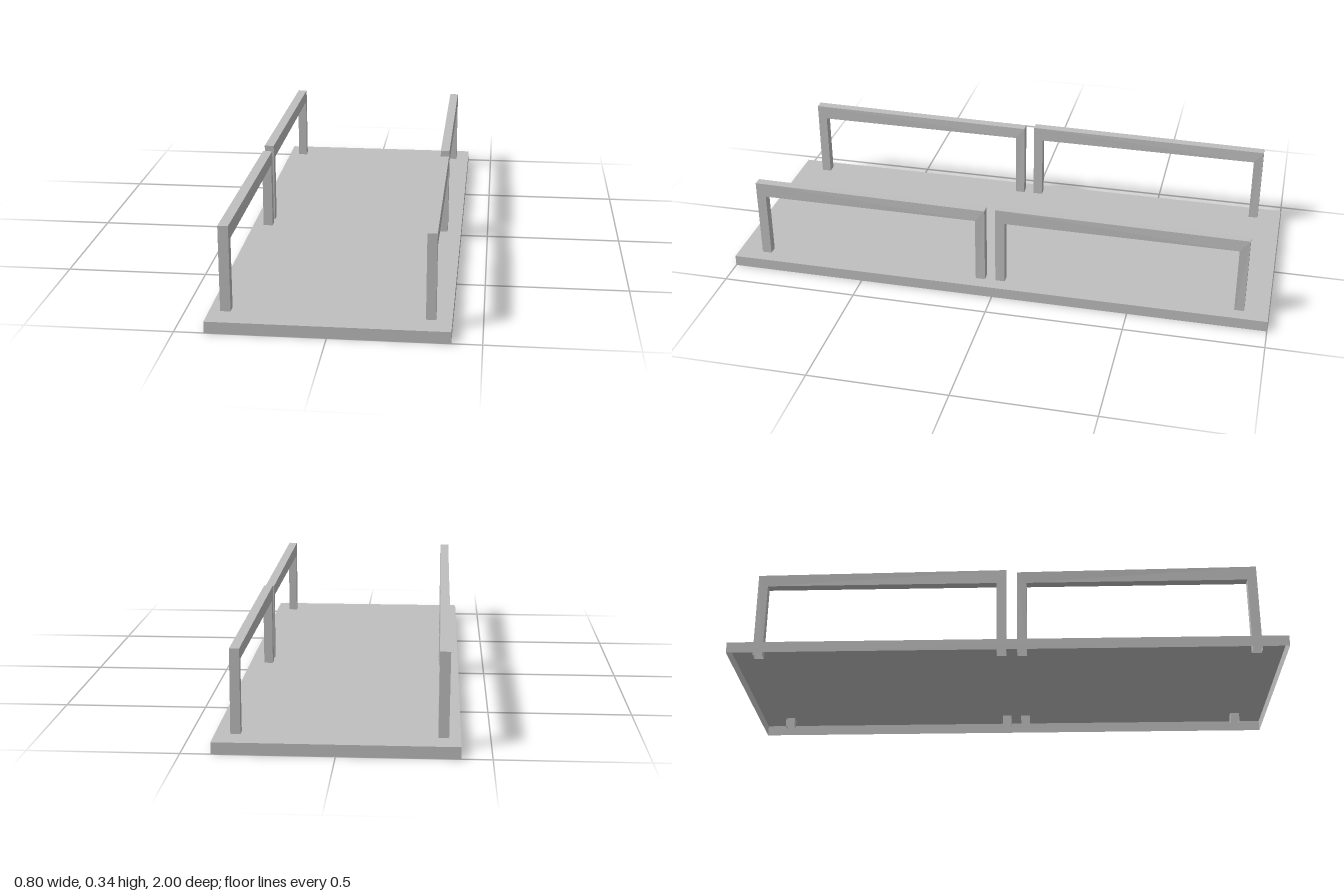
import * as THREE from 'three';

const FLOOR = 0.007; // lower end of the hollow posts

// Drops every triangle lying entirely below a height, leaving the part open underneath
function openUnderside(geometry, height) {
  const g = geometry.index ? geometry.toNonIndexed() : geometry;
  const p = g.attributes.position;
  const keep = [];
  for (let i = 0; i < p.count; i += 3) {
    if (Math.max(p.getY(i), p.getY(i + 1), p.getY(i + 2)) > height) keep.push(i, i + 1, i + 2);
  }
  g.clearGroups();
  g.setIndex(keep);
  return g;
}

// Two posts and a gently sloping top rail, drawn in the z-y plane
function railGeometry(xMin, xMax, zFront, zBack) {
  const post = 0.035, under = 0.285;
  const shape = new THREE.Shape([
    [zBack, FLOOR], [zBack + post, FLOOR], [zBack + post, under],
    [zFront - post, under], [zFront - post, FLOOR], [zFront, FLOOR],
    [zFront, 0.338], [zBack, 0.328],
  ].map(([z, y]) => new THREE.Vector2(z, y)));
  const g = new THREE.ExtrudeGeometry(shape, { depth: xMax - xMin, bevelEnabled: false });
  g.rotateY(-Math.PI / 2);
  g.translate(xMax, 0, 0);

  // The rear post leans outward very slightly
  const p = g.attributes.position;
  for (let i = 0; i < p.count; i++) {
    if (p.getZ(i) < zBack + 0.05 && p.getY(i) < 0.29) p.setX(i, p.getX(i) + 0.002);
  }
  g.computeVertexNormals();
  return openUnderside(g, FLOOR + 0.001);
}

export function createModel() {
  const group = new THREE.Group();
  const grey = new THREE.MeshStandardMaterial({ color: 0xbfbfbf, side: THREE.DoubleSide });
  grey.name = 'lightGrey';

  const add = (name, geometry) => {
    const mesh = new THREE.Mesh(geometry, grey);
    mesh.name = name;
    group.add(mesh);
  };

  // Thin-walled deck, open below
  const deck = new THREE.BoxGeometry(0.8, 0.04, 2);
  deck.translate(0, 0.02, 0);
  add('deck', openUnderside(deck, 0.001));

  // Four handrails: a front and a rear one along each side
  const sides = [['right', -0.363, -0.328], ['left', 0.314, 0.347]];
  const spans = [['Front', 0.91, 0.037], ['Rear', -0.002, -0.913]];
  for (const [side, xMin, xMax] of sides) {
    for (const [end, zFront, zBack] of spans) {
      add(`${side}${end}Rail`, railGeometry(xMin, xMax, zFront, zBack));
    }
  }
  return group;
}
